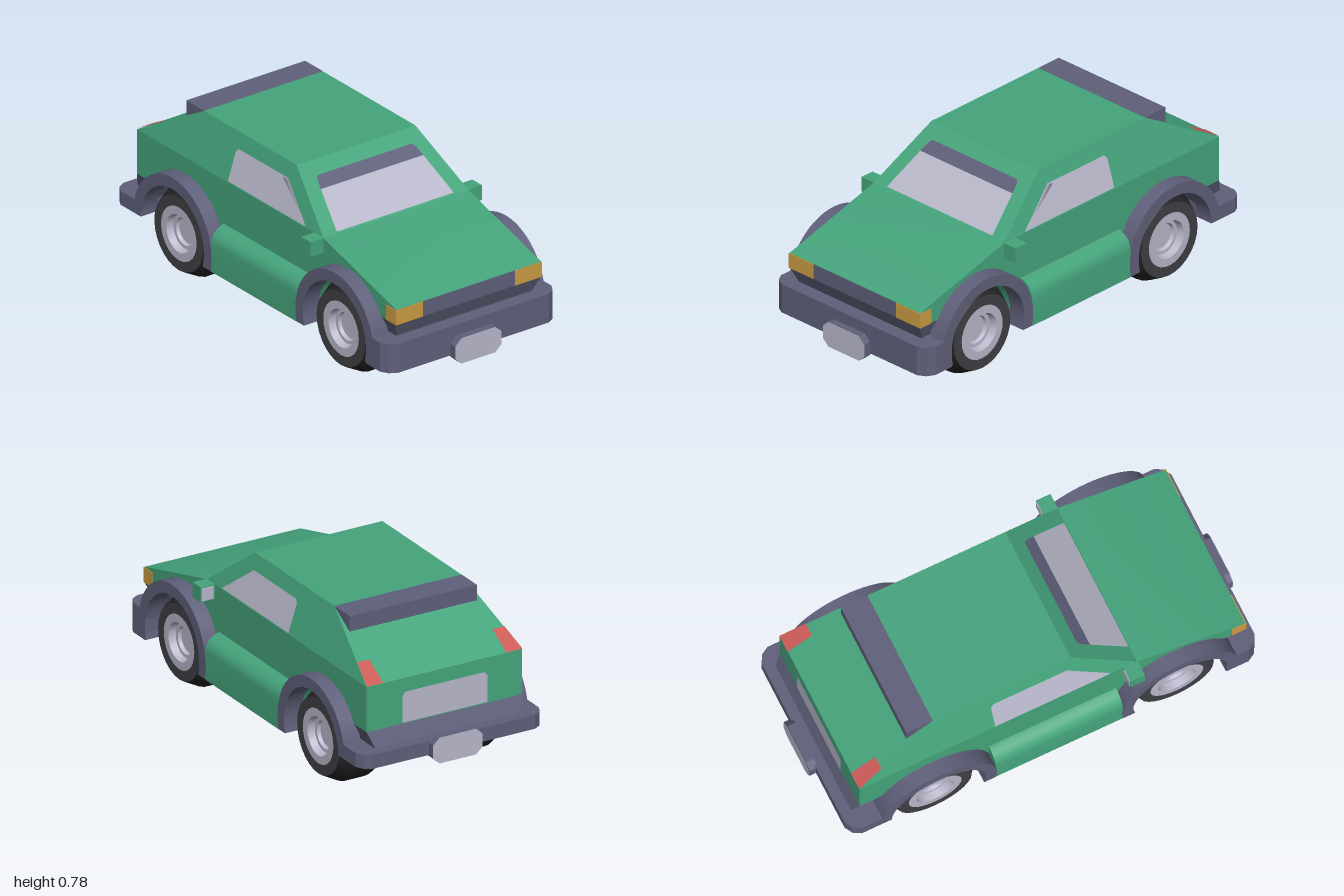
import * as THREE from 'three';
import { toCreasedNormals } from 'three/addons/utils/BufferGeometryUtils.js';
import { ConvexGeometry } from 'three/addons/geometries/ConvexGeometry.js';

const material = (name, color, extra = {}) => new THREE.MeshStandardMaterial({ name, color, ...extra });

export function createModel() {
  const car = new THREE.Group();
  car.name = 'car';
  const green = material('green paint', 0x45a47c);
  const trim = material('grey trim', 0x5f607a);
  const silver = material('silver and glass', 0xb8b7ca, { side: THREE.DoubleSide });
  const amber = material('amber lamp', 0xcb9c42);
  const red = material('red lamp', 0xcc5b57, { side: THREE.DoubleSide });
  const rubber = material('black rubber', 0x242426);
  const wall = material('tyre sidewall', 0x404045);
  const trimPlate = material('grey tint', 0x5f607a, { side: THREE.DoubleSide });

  const add = (name, geometry, mat, parent = car) => {
    const mesh = new THREE.Mesh(geometry, mat);
    mesh.name = name;
    parent.add(mesh);
    return mesh;
  };
  // Box given by its limits on each axis
  const box = (name, x0, x1, y0, y1, z0, z1, mat) =>
    add(name, new THREE.BoxGeometry(x1 - x0, y1 - y0, z1 - z0), mat)
      .position.set((x0 + x1) / 2, (y0 + y1) / 2, (z0 + z1) / 2);
  // Convex block symmetric in x, from half-section points
  const block = (name, pts, mat) => add(name, new ConvexGeometry(
    pts.flatMap(([x, y, z]) => [new THREE.Vector3(x, y, z), new THREE.Vector3(-x, y, z)])), mat);
  // Flat convex polygon as a triangle fan
  const patch = (name, pts, mat) => {
    const g = new THREE.BufferGeometry();
    g.setAttribute('position', new THREE.Float32BufferAttribute(pts.flat(), 3));
    g.setIndex(pts.slice(2).flatMap((_, i) => [0, i + 1, i + 2]));
    g.computeVertexNormals();
    add(name, g, mat);
  };
  // Extrude a (z, y) shape across the car between two x limits
  const across = (name, shape, x0, x1, mat, curveSegments = 16) => {
    const g = new THREE.ExtrudeGeometry(shape, { depth: x1 - x0, bevelEnabled: false, curveSegments });
    g.rotateY(-Math.PI / 2).translate(x1, 0, 0);
    add(name, toCreasedNormals(g, 0.4), mat);
  };
  const polygon = pts => new THREE.Shape(pts.map(p => new THREE.Vector2(...p)));

  const FRONT = 0.59, REAR = -0.55, AXLE = 0.21, WELL = 0.225;
  const W = 0.385, R = 0.315, BELT = 0.56, ROOF = 0.775;

  // Lower body with wheel wells cut from its side profile
  const high = Math.asin((0.35 - AXLE) / WELL), low = Math.asin((0.15 - AXLE) / WELL);
  const side = new THREE.Shape();
  side.moveTo(0.93, 0.35);
  side.lineTo(0.93, 0.422);
  side.lineTo(0.42, BELT);
  side.lineTo(-0.89, BELT);
  side.lineTo(-0.89, 0.35);
  side.absarc(REAR, AXLE, WELL, Math.PI - high, low, true);
  side.absarc(FRONT, AXLE, WELL, Math.PI - low, high, true);
  across('lowerBody', side, -W, W, green);

  // Cabin and tail spoiler
  block('cabin', [[W, BELT, 0.42], [R, ROOF, 0.14], [R, ROOF, -0.51], [W, BELT, -0.89]], green);
  block('spoiler', [[R, ROOF + 0.001, -0.51], [R, ROOF + 0.001, -0.635], [R, 0.702, -0.635]], trim);

  // Windscreen with a dark top band
  const screen = (x, y) => [x, y + 0.002, 0.42 - (y - BELT) * 0.28 / 0.215 + 0.002];
  patch('windscreen', [screen(-0.31, 0.565), screen(0.31, 0.565), screen(0.307, 0.578),
    screen(0.272, 0.69), screen(-0.272, 0.69), screen(-0.307, 0.578)], silver);
  patch('windscreenBand', [screen(-0.272, 0.69), screen(0.272, 0.69), screen(0.262, 0.718),
    screen(0.25, 0.73), screen(-0.25, 0.73), screen(-0.262, 0.718)], trimPlate);

  // Inner structure between the wheels
  box('wheelWellCore', -0.17, 0.17, 0.15, 0.43, -0.77, 0.81, trim);
  box('floor', -0.345, 0.345, 0.143, 0.16, -0.34, 0.38, trim);
  box('underTray', -0.19, 0.19, 0.14, 0.16, REAR, FRONT, rubber);

  // Skirts between the body and the bumpers
  block('frontSkirt', [[W, 0.35, 0.93], [0.36, 0.28, 0.9], [W, 0.35, 0.77], [0.36, 0.28, 0.81]], trim);
  block('rearSkirt', [[W, 0.35, -0.89], [0.36, 0.28, -0.92], [W, 0.35, -0.73], [0.36, 0.28, -0.77]], trim);

  // Bumpers with cut corners; s is the end they face
  const bumper = (name, s, inner, outer, bottom) => {
    const c = 0.02, d = 0.055, e = 0.455;
    const half = [[e, inner], [e, outer - d], [e - c, outer - c], [e - d, outer]];
    const pts = [...half, ...half.map(([x, z]) => [-x, z]).reverse()].map(([x, z]) => [x, s * z]);
    const g = new THREE.ExtrudeGeometry(polygon(pts), { depth: 0.28 - bottom, bevelEnabled: false });
    g.rotateX(Math.PI / 2).translate(0, 0.28, 0);
    add(name, g, trim);
  };
  bumper('frontBumper', 1, 0.81, 0.966, 0.143);
  bumper('rearBumper', -1, 0.77, 0.968, 0.215);

  // Number plate holders with blank plates
  for (const [name, s, y] of [['front', 1, 0.168], ['rear', -1, 0.24]]) {
    const pts = [[0.123, -0.03], [0.123, 0.03], [0.09, 0.06], [-0.09, 0.06],
      [-0.123, 0.03], [-0.123, -0.03], [-0.09, -0.06], [0.09, -0.06]];
    const g = new THREE.ExtrudeGeometry(polygon(pts), { depth: 0.038, bevelEnabled: false });
    g.translate(0, y, s > 0 ? 0.96 : -0.998);
    add(name + 'PlateHolder', g, trim);
    patch(name + 'Plate', pts.map(([x, dy]) => [s * x, y + dy, s * 1.0]), silver);
  }

  // Grille and rear panel
  box('grille', -0.245, 0.245, 0.35, 0.42, 0.925, 0.932, trim);
  patch('rearPanel', [[0.21, 0.355], [-0.21, 0.355], [-0.21, 0.48], [-0.195, 0.497],
    [0.195, 0.497], [0.21, 0.48]].map(([x, y]) => [x, y, -0.893]), silver);

  // Wheel turned round its axle, outer side towards +x
  const turned = (name, pts, mat, parent) => {
    const g = new THREE.LatheGeometry(pts.map(p => new THREE.Vector2(...p)), 28);
    add(name, toCreasedNormals(g.rotateZ(-Math.PI / 2), 0.35), mat, parent);
  };
  const wheel = (name, s, z) => {
    const group = new THREE.Group();
    group.name = name;
    turned('tyre', [[0, -0.122], [0.178, -0.122], [0.21, -0.05], [0.21, 0.05], [0.172, 0.122]], rubber, group);
    turned('sidewall', [[0.172, 0.122], [0.125, 0.122]], wall, group);
    turned('rim', [[0.125, 0.122], [0.088, 0.122], [0.08, 0.09], [0.064, 0.09],
      [0.058, 0.075], [0, 0.075]], silver, group);
    group.position.set(s * 0.298, AXLE, z);
    if (s < 0) group.rotation.y = Math.PI;
    car.add(group);
  };

  for (const s of [1, -1]) {
    const label = s > 0 ? 'left' : 'right';
    const span = (a, b) => s > 0 ? [a, b] : [-b, -a];
    const facing = pts => s > 0 ? pts : pts.slice().reverse();

    // Wheels and their arches
    for (const [end, z, y0, y1] of [['Front', FRONT, 0.15, 0.15], ['Rear', REAR, 0.15, 0.215]]) {
      wheel(label + end + 'Wheel', s, z);
      const angle = (y, r) => Math.asin((y - AXLE) / r);
      const arch = new THREE.Shape();
      arch.absarc(z, AXLE, 0.275, angle(y0, 0.275), Math.PI - angle(y1, 0.275), false);
      arch.absarc(z, AXLE, 0.222, Math.PI - angle(y1, 0.222), angle(y0, 0.222), true);
      // Mirrored in z so that y0 belongs to the inboard end of each axle
      if (end === 'Front') across(label + end + 'Arch', arch, ...span(0.37, 0.455), trim);
      else {
        const rear = new THREE.Shape();
        rear.absarc(z, AXLE, 0.275, angle(y0, 0.275), Math.PI - angle(y1, 0.275), false);
        rear.absarc(z, AXLE, 0.222, Math.PI - angle(y1, 0.222), angle(y0, 0.222), true);
        across(label + end + 'Arch', rear, ...span(0.37, 0.455), trim);
      }
    }

    // Rounded sill between the arches
    const sill = new THREE.Shape();
    sill.moveTo(0.34, 0.147);
    sill.lineTo(0.453, 0.147);
    sill.lineTo(0.453, 0.28);
    sill.quadraticCurveTo(0.45, 0.34, 0.38, 0.355);
    sill.lineTo(0.34, 0.355);
    const g = new THREE.ExtrudeGeometry(sill, { depth: 0.6, bevelEnabled: false, curveSegments: 6 });
    g.translate(0, 0, -0.28);
    if (s < 0) g.rotateY(Math.PI).translate(0, 0, 0.04);
    add(label + 'Sill', toCreasedNormals(g, 0.5), green);

    // Side window lying on the sloping cabin side
    const pane = (z, y) => [s * (W + 0.003 - (y - BELT) * 0.07 / 0.215), y, z];
    patch(label + 'SideWindow', facing([pane(0.295, 0.566), pane(-0.25, 0.566), pane(-0.25, 0.695),
      pane(-0.235, 0.71), pane(0.11, 0.71), pane(0.08, 0.7), pane(0.27, 0.588)]), silver);

    // Headlamp wrapping the corner
    box(label + 'Headlamp', ...span(0.245, W + 0.003), 0.35, 0.42, 0.865, 0.934, amber);

    // Tail lamp on the sloping hatch
    const hatch = (x, z) => [s * x, BELT + (z + 0.89) * 0.215 / 0.38 + 0.003, z - 0.002];
    patch(label + 'TailLamp', facing([hatch(0.305, -0.89), hatch(0.305, -0.775),
      hatch(0.364, -0.775), hatch(W, -0.89)]), red);

    // Door mirror
    box(label + 'Mirror', ...span(0.38, 0.455), 0.492, 0.562, 0.355, 0.422, green);
    box(label + 'MirrorGlass', ...span(0.395, 0.45), 0.498, 0.556, 0.351, 0.356, silver);
  }
  return car;
}
